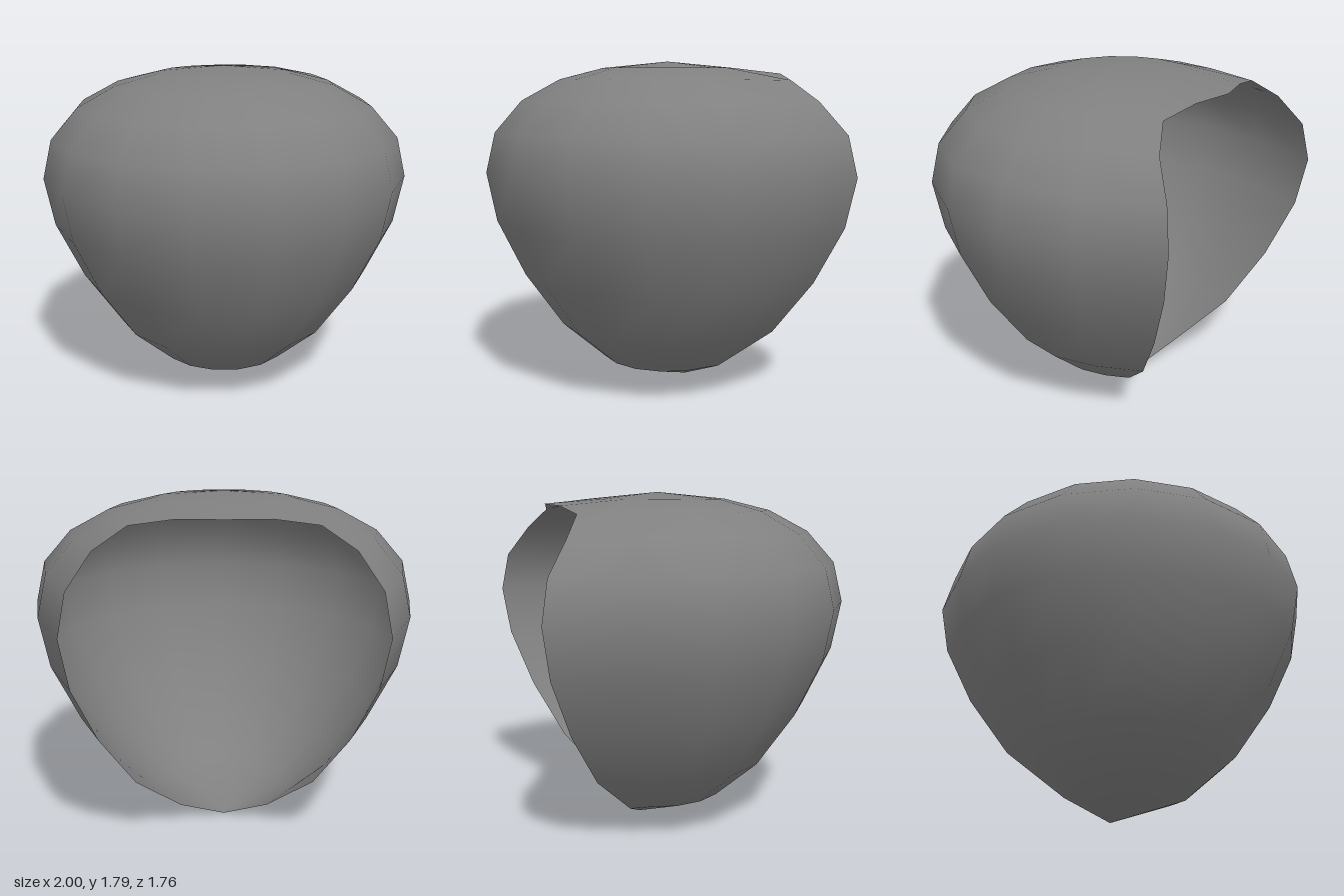
import * as THREE from 'three';

const SIDES = 16;
const CENTER_Z = -0.12;
// Rings from crown to chin: [height, radius]
const RINGS = [
  [1.76, 0.36], [1.70, 0.60], [1.59, 0.805], [1.425, 0.95], [1.215, 1.0],
  [0.955, 0.95], [0.65, 0.805], [0.355, 0.60], [0.145, 0.36],
];
const BROW = 1;                 // ring that forms the upper rim of the opening
const CHIN = RINGS.length - 1;

// Point on the shell; column 0 is the front, column 8 the middle of the back
function shellPoint(ring, col) {
  const [y, r] = RINGS[ring];
  const a = (col / SIDES) * Math.PI * 2;
  const p = new THREE.Vector3(Math.sin(a) * r, y, Math.cos(a) * r + CENTER_Z);
  const fromBack = Math.abs(col - SIDES / 2);
  if (ring === BROW) {
    // Upper rim, slightly raised and pulled back
    if (fromBack === 0) p.set(0, 1.735, -0.74);
    if (fromBack === 1) p.set(Math.sign(p.x) * 0.225, 1.73, -0.69);
    if (fromBack === 2) p.set(Math.sign(p.x) * 0.45, 1.695, -0.65);
  } else if (ring > BROW && fromBack === 2) {
    // Side rims flare outward
    if (ring === CHIN) p.set(Math.sign(p.x) * 0.235, 0.11, -0.35);
    else p.set(p.x * 1.075, y, (p.z - CENTER_Z) * 1.075 + CENTER_Z);
  }
  return p;
}

function createShellGeometry() {
  const points = [];
  const index = [];
  RINGS.forEach((_, ring) => {
    for (let col = 0; col < SIDES; col++) points.push(shellPoint(ring, col));
  });
  const top = points.push(new THREE.Vector3(0, 1.795, CENTER_Z)) - 1;
  const tip = points.push(new THREE.Vector3(0, 0, -0.235)) - 1;
  const id = (ring, col) => ring * SIDES + (col % SIDES);

  for (let col = 0; col < SIDES; col++) {
    const open = col >= 6 && col < 10;
    index.push(top, id(0, col), id(0, col + 1));
    for (let ring = 0; ring < CHIN; ring++) {
      if (open && ring >= BROW) continue;
      const a = id(ring, col), b = id(ring + 1, col);
      const c = id(ring + 1, col + 1), d = id(ring, col + 1);
      index.push(a, b, d, b, c, d);
    }
    if (!open) index.push(id(CHIN, col), tip, id(CHIN, col + 1));
  }

  const geometry = new THREE.BufferGeometry().setFromPoints(points);
  geometry.setIndex(index);
  geometry.computeVertexNormals();
  return geometry.toNonIndexed(); // drops the unused points inside the opening
}

export function createModel() {
  const group = new THREE.Group();
  group.name = 'openBackShell';
  const material = new THREE.MeshStandardMaterial({ color: 0x808080, side: THREE.DoubleSide });
  const shell = new THREE.Mesh(createShellGeometry(), material);
  shell.name = 'shell';
  group.add(shell);
  return group;
}
